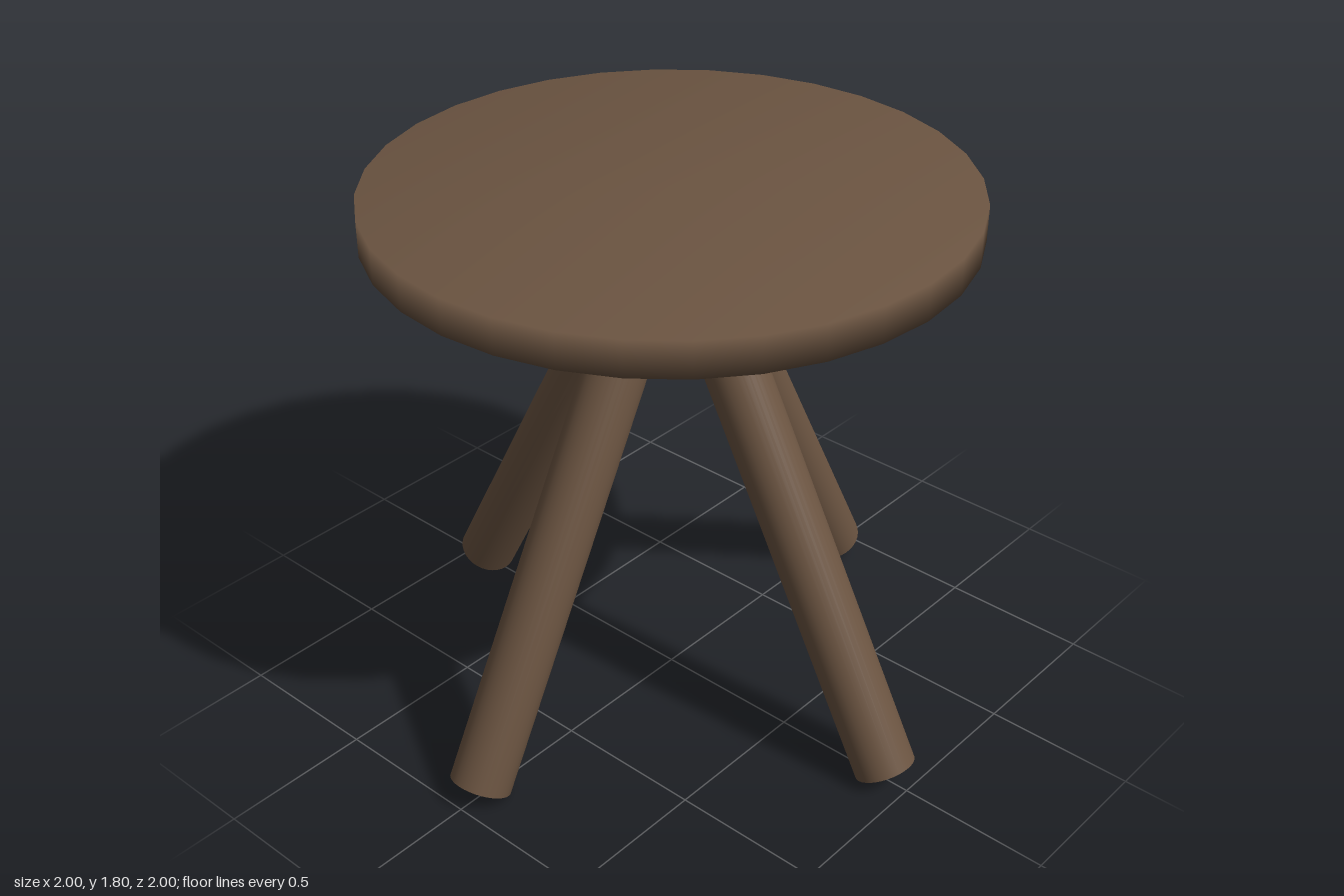
import * as THREE from 'three';
import { mergeVertices } from 'three/addons/utils/BufferGeometryUtils.js';

// Cylinder whose normals blend softly across the rims
function softCylinder(radius, height, sides) {
  const geometry = new THREE.CylinderGeometry(radius, radius, height, sides);
  geometry.deleteAttribute('uv');
  geometry.deleteAttribute('normal');
  const merged = mergeVertices(geometry, 1e-4);
  merged.computeVertexNormals();
  return merged;
}

export function createModel() {
  const model = new THREE.Group();
  model.name = 'roundStool';
  const wood = new THREE.MeshStandardMaterial({ color: 0x6b5441 });
  wood.name = 'brownWood';

  // Round seat
  const seat = new THREE.Mesh(softCylinder(0.94, 0.115, 32), wood);
  seat.name = 'seat';
  seat.position.y = 1.7375;
  model.add(seat);

  // Four splayed legs meeting under the middle of the seat
  const foot = new THREE.Vector3(0.911, 0.047, 0);
  const top = new THREE.Vector3(0.012, 1.735, 0);
  const axis = top.clone().sub(foot);
  const legGeometry = softCylinder(0.1, axis.length(), 32);
  const names = ['leftLeg', 'backLeg', 'rightLeg', 'frontLeg'];
  names.forEach((name, i) => {
    const pivot = new THREE.Group();
    pivot.name = name;
    pivot.rotation.y = (i * Math.PI) / 2;
    const leg = new THREE.Mesh(legGeometry, wood);
    leg.name = name + 'Post';
    leg.position.copy(foot).add(top).multiplyScalar(0.5);
    leg.quaternion.setFromUnitVectors(new THREE.Vector3(0, 1, 0), axis.clone().normalize());
    pivot.add(leg);
    model.add(pivot);
  });

  return model;
}
